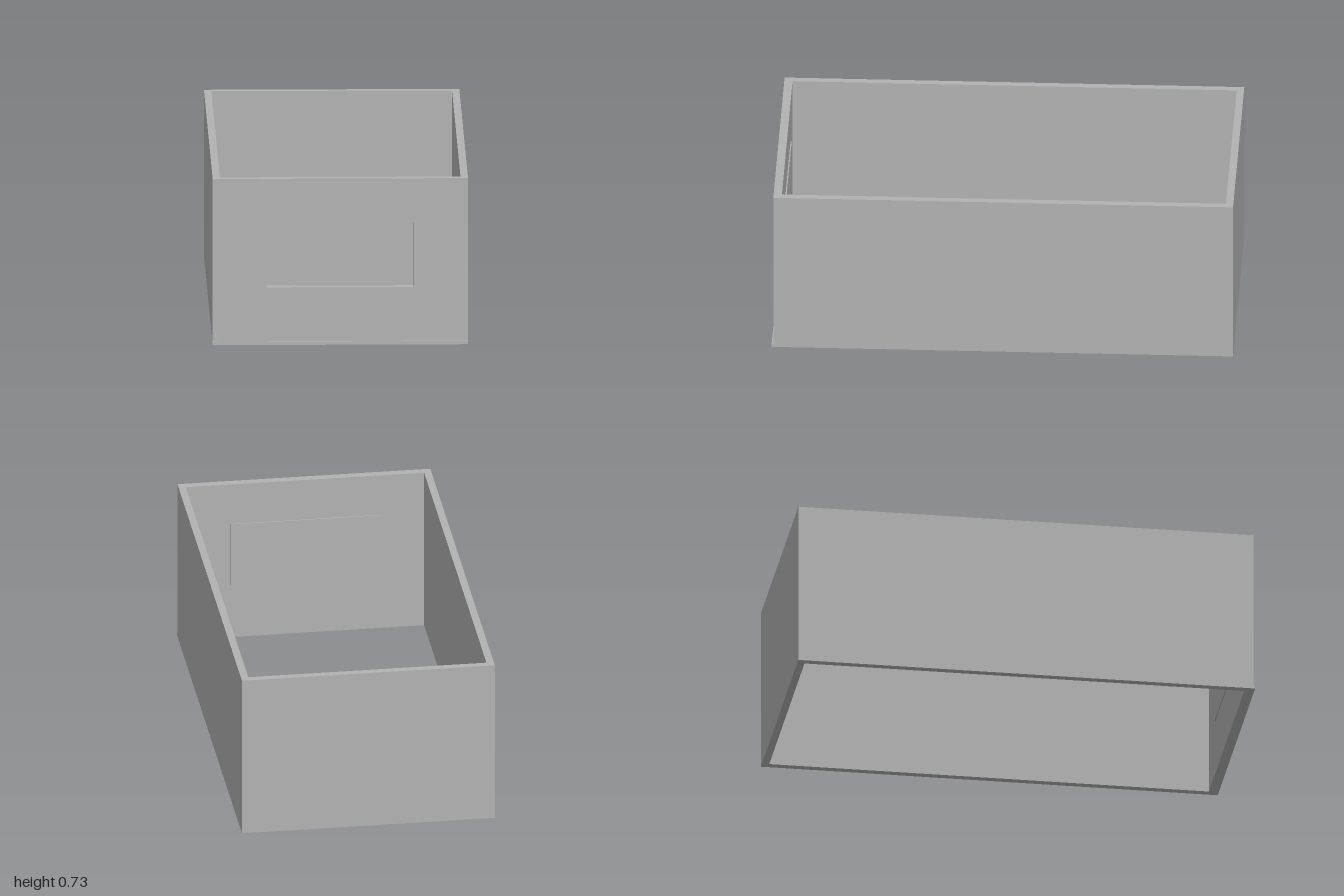
import * as THREE from 'three';

export function createModel() {
  const model = new THREE.Group();
  model.name = 'openBox';
  const grey = new THREE.MeshStandardMaterial({ color: 0xb2b2b2 });
  grey.name = 'grey';

  const W = 0.553, H = 0.732, T = 0.032;   // half width, height, wall thickness
  const back = -1, front = 0.993, frontInner = 0.957;

  function add(name, geometry) {
    const mesh = new THREE.Mesh(geometry, grey);
    mesh.name = name;
    model.add(mesh);
    return mesh;
  }
  // Box given by its minimum and maximum corners
  function slab(name, [x0, y0, z0], [x1, y1, z1]) {
    add(name, new THREE.BoxGeometry(x1 - x0, y1 - y0, z1 - z0))
      .position.set((x0 + x1) / 2, (y0 + y1) / 2, (z0 + z1) / 2);
  }
  function rectangle(target, x, y0, y1) {
    target.moveTo(-x, y0).lineTo(x, y0).lineTo(x, y1).lineTo(-x, y1).closePath();
    return target;
  }

  // Side and back walls; the box is open above and below
  slab('leftWall', [W - T, 0, back + T], [W, H, frontInner]);
  slab('rightWall', [-W, 0, back + T], [-W + T, H, frontInner]);
  slab('backWall', [-W, 0, back], [W, H, back + T]);

  // Front wall with a rectangular window
  const wall = rectangle(new THREE.Shape(), W, 0, H);
  wall.holes.push(rectangle(new THREE.Path(), 0.318, 0.253, 0.537));
  add('frontWall', new THREE.ExtrudeGeometry(wall, { depth: front - frontInner, bevelEnabled: false }))
    .position.z = frontInner;

  // Thin plate closing the window from inside
  slab('recessPanel', [-0.325, 0.247, 0.952], [0.325, 0.543, frontInner]);

  // Narrow lip along the bottom of the front
  slab('frontLip', [-W, 0, front], [W, 0.015, 1]);

  return model;
}
